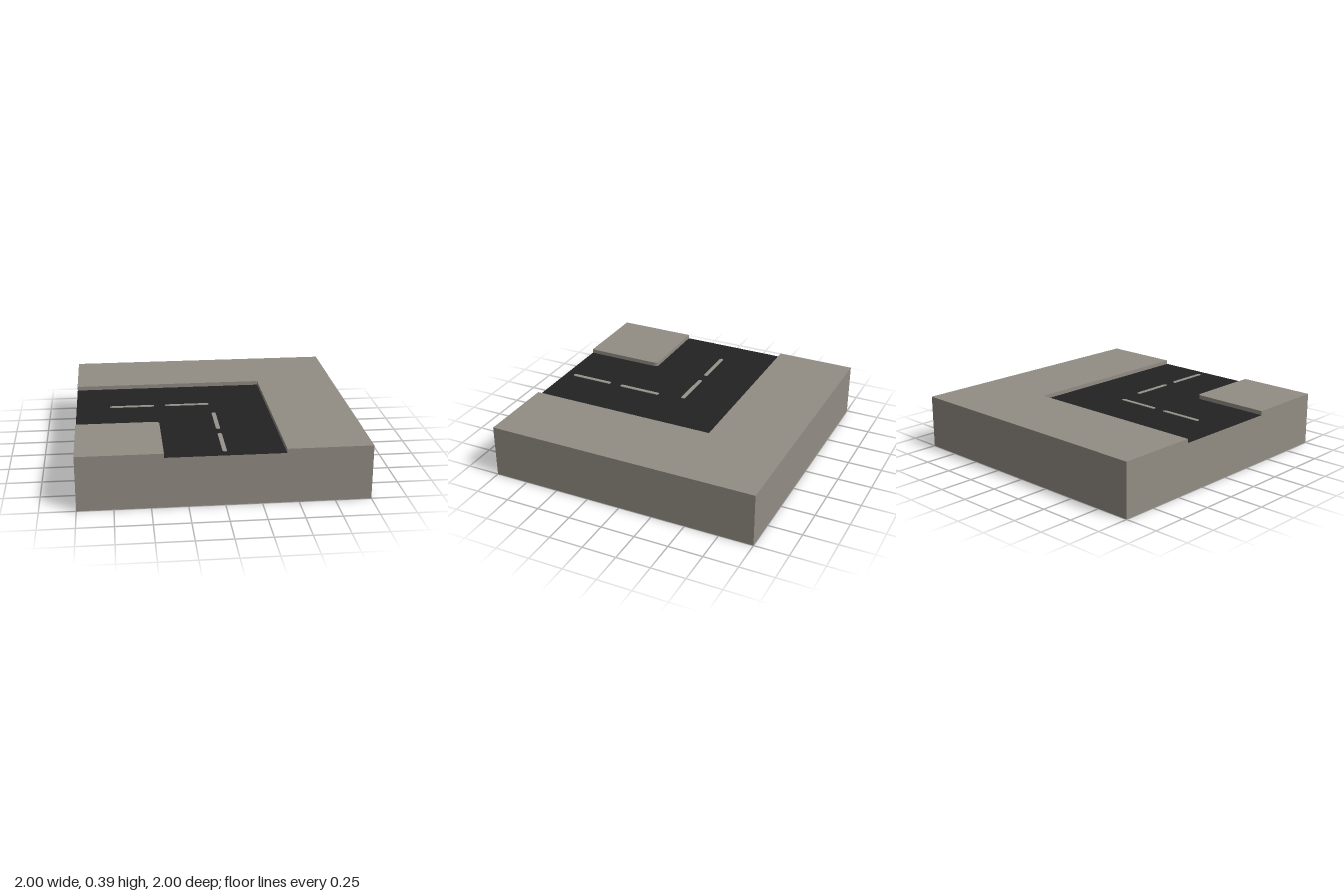
import * as THREE from 'three';

const ROAD_Y = 0.36, TOP_Y = 0.39, HALF = 0.41;

// Extrude an outline drawn in plan (x, -z) upwards from height y
function slab(shape, y, height) {
  const g = new THREE.ExtrudeGeometry(shape, { depth: height, bevelEnabled: false, curveSegments: 6 });
  g.rotateX(-Math.PI / 2);
  g.translate(0, y, 0);
  return g;
}

export function createModel() {
  const concrete = new THREE.MeshStandardMaterial({ color: 0x928c83 });
  concrete.name = 'concrete';
  const asphalt = new THREE.MeshStandardMaterial({ color: 0x222222 });
  asphalt.name = 'asphalt';
  const paint = new THREE.MeshStandardMaterial({ color: 0x95938a });
  paint.name = 'lanePaint';

  const model = new THREE.Group();
  model.name = 'roadCorner';
  const add = (name, geometry, material) => {
    const mesh = new THREE.Mesh(geometry, material);
    mesh.name = name;
    model.add(mesh);
    return mesh;
  };

  // Base block whose top face is the road surface
  const base = new THREE.BoxGeometry(2, ROAD_Y, 2).translate(0, ROAD_Y / 2, 0);
  add('roadBase', base, [concrete, concrete, asphalt, concrete, concrete, concrete]);

  // L-shaped pavement around the outside of the bend
  const outer = new THREE.Shape([
    [-1, 1], [-1, HALF], [HALF, HALF], [HALF, -1], [1, -1], [1, 1],
  ].map(([x, y]) => new THREE.Vector2(x, y)));
  add('outerPavement', slab(outer, ROAD_Y, TOP_Y - ROAD_Y), concrete);

  // Square pavement inside the bend, with one rounded corner
  const r = 0.03;
  const inner = new THREE.Shape();
  inner.moveTo(-1, -1);
  inner.lineTo(-HALF, -1);
  inner.lineTo(-HALF, -HALF - r);
  inner.absarc(-HALF - r, -HALF - r, r, 0, Math.PI / 2, false);
  inner.lineTo(-1, -HALF);
  add('innerPavement', slab(inner, ROAD_Y, TOP_Y - ROAD_Y), concrete);

  // Lane dashes with clipped ends
  const l = 0.163, w = 0.015, c = 0.009;
  const dash = new THREE.Shape([
    [-l, -w + c], [-l + c, -w], [l - c, -w], [l, -w + c],
    [l, w - c], [l - c, w], [-l + c, w], [-l, w - c],
  ].map(([x, y]) => new THREE.Vector2(x, y)));
  const dashGeometry = slab(dash, ROAD_Y, 0.004);
  for (const x of [-0.59, -0.18]) {
    add('sideLaneDash', dashGeometry, paint).position.x = x;
  }
  for (const z of [0.355, 0.77]) {
    const mesh = add('frontLaneDash', dashGeometry, paint);
    mesh.position.z = z;
    mesh.rotation.y = Math.PI / 2;
  }
  return model;
}
